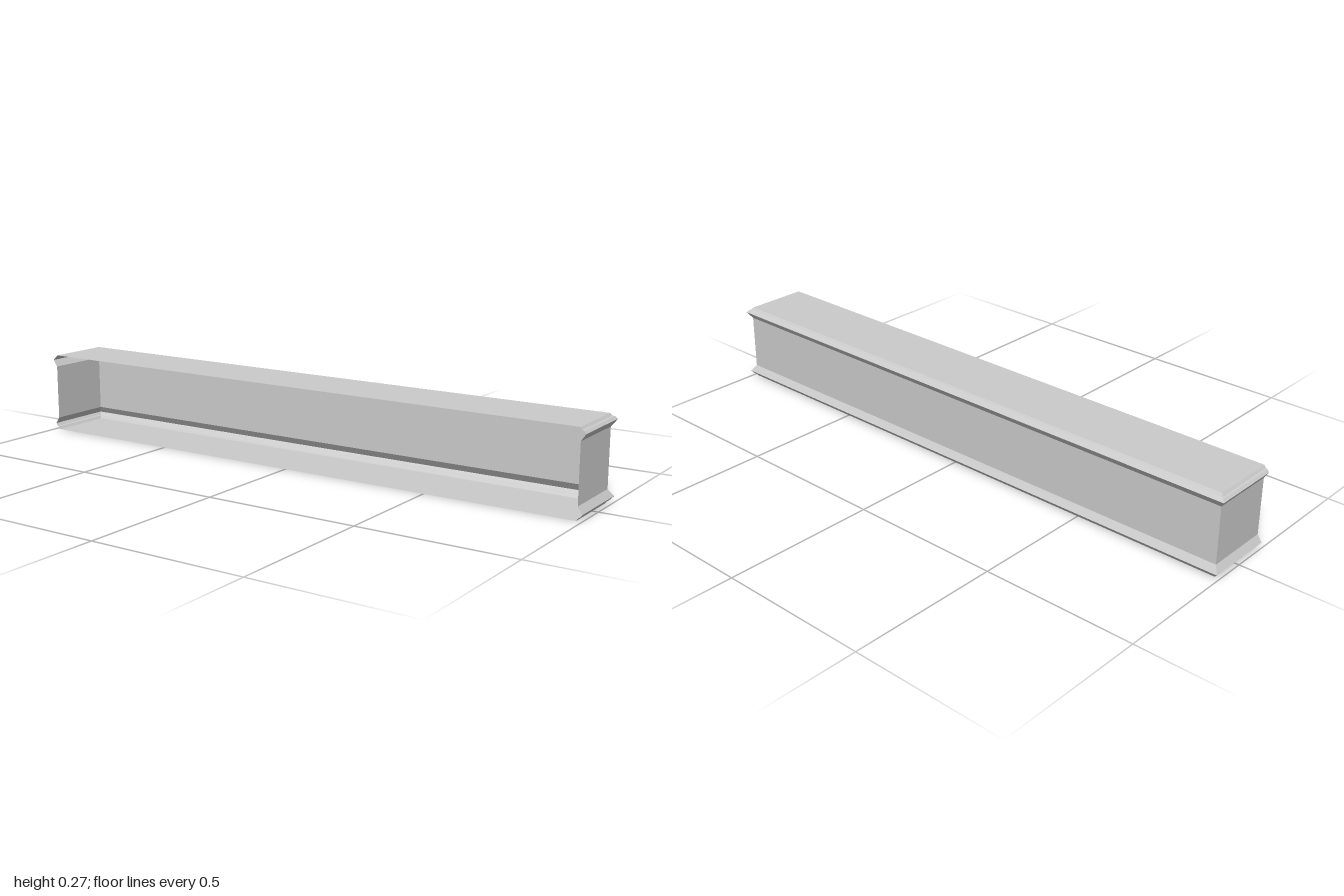
import * as THREE from 'three';

// Moulded wall profile, bottom to top: [outward distance, height]
const PROFILE = [
  [0.097, 0], [0.103, 0.009], [0.108, 0.011], [0.115, 0.02], [0.1, 0.042],
  [0.1, 0.227], [0.115, 0.249], [0.108, 0.257], [0.103, 0.259], [0.097, 0.267],
];
const FRONT = 0.115;
const SIDE = 0.885; // extra half-width of the side walls over the back wall

// U-shaped plan, open at the front, with mitred corners
const plan = (d) => [[SIDE + d, FRONT], [SIDE + d, -d], [-SIDE - d, -d], [-SIDE - d, FRONT]];

export function createModel() {
  const group = new THREE.Group();
  const material = new THREE.MeshStandardMaterial({
    color: 0xcccccc, flatShading: true, side: THREE.DoubleSide,
  });

  // One moulded wall per side of the plan
  ['leftWall', 'backWall', 'rightWall'].forEach((name, i) => {
    const positions = [], index = [];
    PROFILE.forEach(([d, y], j) => {
      const p = plan(d);
      for (const [x, z] of [p[i], p[i + 1]]) positions.push(x, y, z);
      if (j > 0) {
        const a = 2 * (j - 1);
        index.push(a, a + 1, a + 3, a, a + 3, a + 2);
      }
    });
    const indexed = new THREE.BufferGeometry();
    indexed.setAttribute('position', new THREE.Float32BufferAttribute(positions, 3));
    indexed.setIndex(index);
    const geometry = indexed.toNonIndexed();
    geometry.computeVertexNormals();
    const wall = new THREE.Mesh(geometry, material);
    wall.name = name;
    group.add(wall);
  });

  // Flat panels closing the top and bottom
  const addPanel = (name, [d, y], facing) => {
    const geometry = new THREE.PlaneGeometry(2 * (SIDE + d), FRONT + d);
    geometry.rotateX(-facing * Math.PI / 2);
    const panel = new THREE.Mesh(geometry, material);
    panel.position.set(0, y, (FRONT - d) / 2);
    panel.name = name;
    group.add(panel);
  };
  addPanel('bottomPanel', PROFILE[0], -1);
  addPanel('topPanel', PROFILE[PROFILE.length - 1], 1);

  return group;
}
